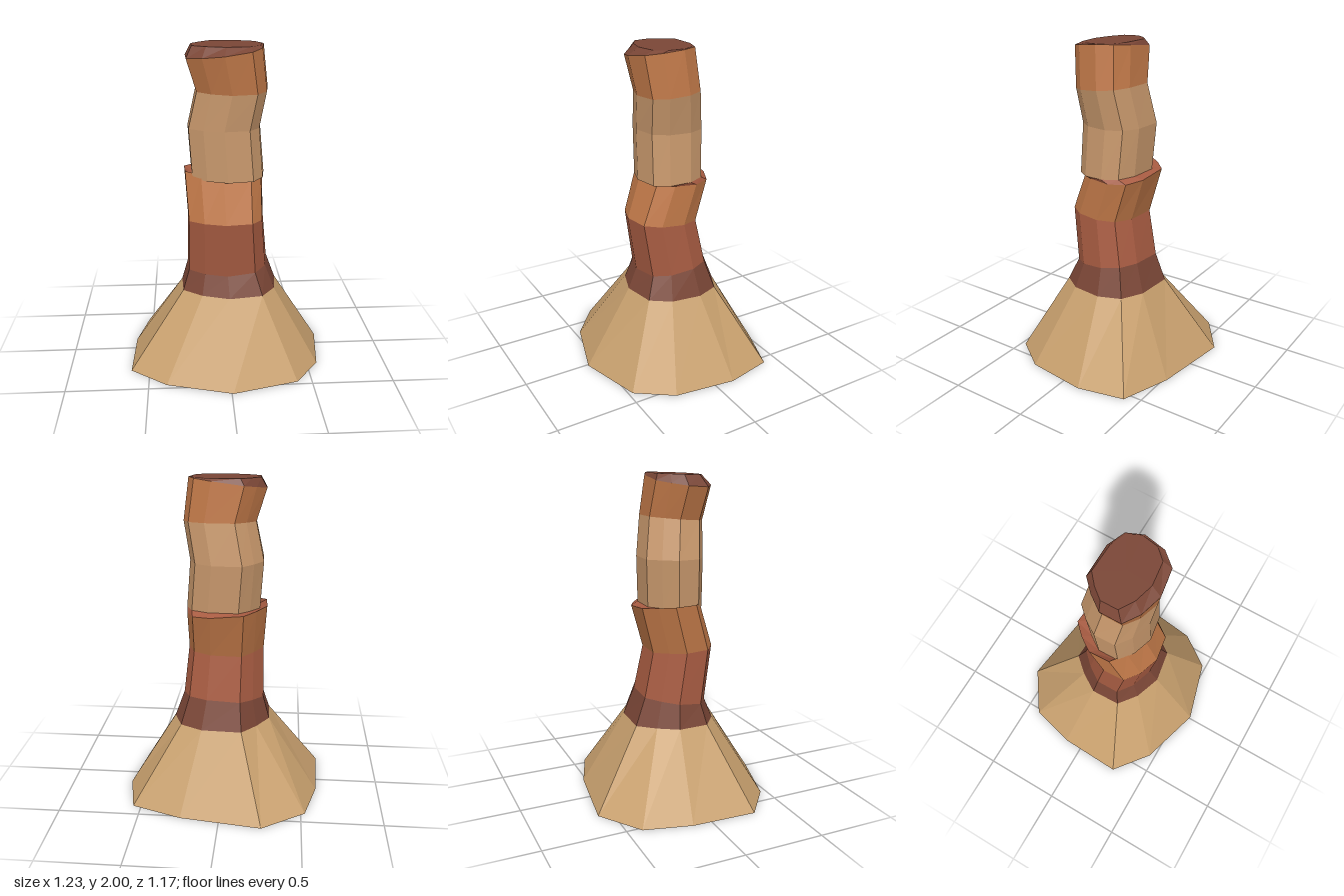
import * as THREE from 'three';

// Irregular eleven-sided outline, unit size, as [x, z] running from the back-left corner
const OUTLINE = [
  [-0.45, -1], [0.37, -0.96], [0.82, -0.71], [1, -0.21], [0.92, 0.46], [0.64, 0.88],
  [-0.04, 1], [-0.59, 0.79], [-0.98, 0.46], [-1, -0.21], [-0.75, -0.64],
];

// Wider, rougher outline of the foot
const FOOT = [
  [-0.26, -0.59], [0.24, -0.52], [0.55, -0.41], [0.615, -0.12], [0.565, 0.26], [0.41, 0.475],
  [0.01, 0.585], [-0.39, 0.465], [-0.615, 0.285], [-0.60, -0.12], [-0.525, -0.41],
].map(([x, z]) => new THREE.Vector3(x, 0, z));

// Outline fitted between x0..x1 and z0..z1 at height y, tilted along x and z
function ring(y, x0, x1, z0, z1, tiltX = 0, tiltZ = 0) {
  return OUTLINE.map(([u, v]) => new THREE.Vector3(
    (x0 + x1) / 2 + u * (x1 - x0) / 2,
    y + tiltX * u + tiltZ * v,
    (z0 + z1) / 2 + v * (z1 - z0) / 2,
  ));
}

function facetedMesh(name, triangles, color) {
  const geometry = new THREE.BufferGeometry().setFromPoints(triangles);
  geometry.computeVertexNormals();
  const material = new THREE.MeshStandardMaterial({ color, flatShading: true, side: THREE.DoubleSide });
  const mesh = new THREE.Mesh(geometry, material);
  mesh.name = name;
  return mesh;
}

// Wall of quads joining two rings
function band(name, lower, upper, color) {
  const triangles = [];
  lower.forEach((p, i) => {
    const j = (i + 1) % lower.length;
    triangles.push(lower[j], p, upper[i], lower[j], upper[i], upper[j]);
  });
  return facetedMesh(name, triangles, color);
}

// Fan closing a ring from above
function cap(name, rim, color) {
  const center = rim.reduce((sum, p) => sum.add(p), new THREE.Vector3()).divideScalar(rim.length);
  const triangles = rim.flatMap((p, i) => [center, rim[(i + 1) % rim.length], p]);
  return facetedMesh(name, triangles, color);
}

export function createModel() {
  const group = new THREE.Group();
  group.name = 'rockPillar';

  const SAND = 0xc8a06e, DARK = 0x7a4636, RUST = 0xa85c42, ORANGE = 0xc07848, PALE = 0xc8986c;

  const footTop = ring(0.475, -0.285, 0.32, -0.28, 0.28);
  const collarTop = ring(0.625, -0.245, 0.26, -0.215, 0.22, 0.01, -0.025);
  const lowerTop = ring(0.94, -0.24, 0.23, -0.16, 0.265, 0, 0.01);
  const middleTop = ring(1.21, -0.26, 0.23, -0.235, 0.17, -0.025, 0.005);
  const upperBottom = ring(1.205, -0.215, 0.235, -0.185, 0.20, 0, -0.01);
  const upperMiddle = ring(1.505, -0.235, 0.21, -0.2, 0.195);
  const upperTop = ring(1.735, -0.185, 0.25, -0.16, 0.21, 0, -0.015);
  const crownTop = ring(1.96, -0.245, 0.22, -0.14, 0.24, 0.03, -0.015);
  const summitRim = ring(1.995, -0.21, 0.21, -0.12, 0.18, 0, -0.005);

  group.add(
    // Flared foot, open underneath
    band('foot', FOOT, footTop, SAND),
    // Lower trunk with its overhanging ledge
    band('collar', footTop, collarTop, DARK),
    band('lowerTrunk', collarTop, lowerTop, RUST),
    band('middleTrunk', lowerTop, middleTop, ORANGE),
    band('ledge', middleTop, upperBottom, RUST),
    // Shifted upper trunk
    band('upperTrunkLower', upperBottom, upperMiddle, PALE),
    band('upperTrunkUpper', upperMiddle, upperTop, PALE),
    // Crown with bevelled summit
    band('crown', upperTop, crownTop, ORANGE),
    band('summitBevel', crownTop, summitRim, DARK),
    cap('summit', summitRim, DARK),
  );
  return group;
}
